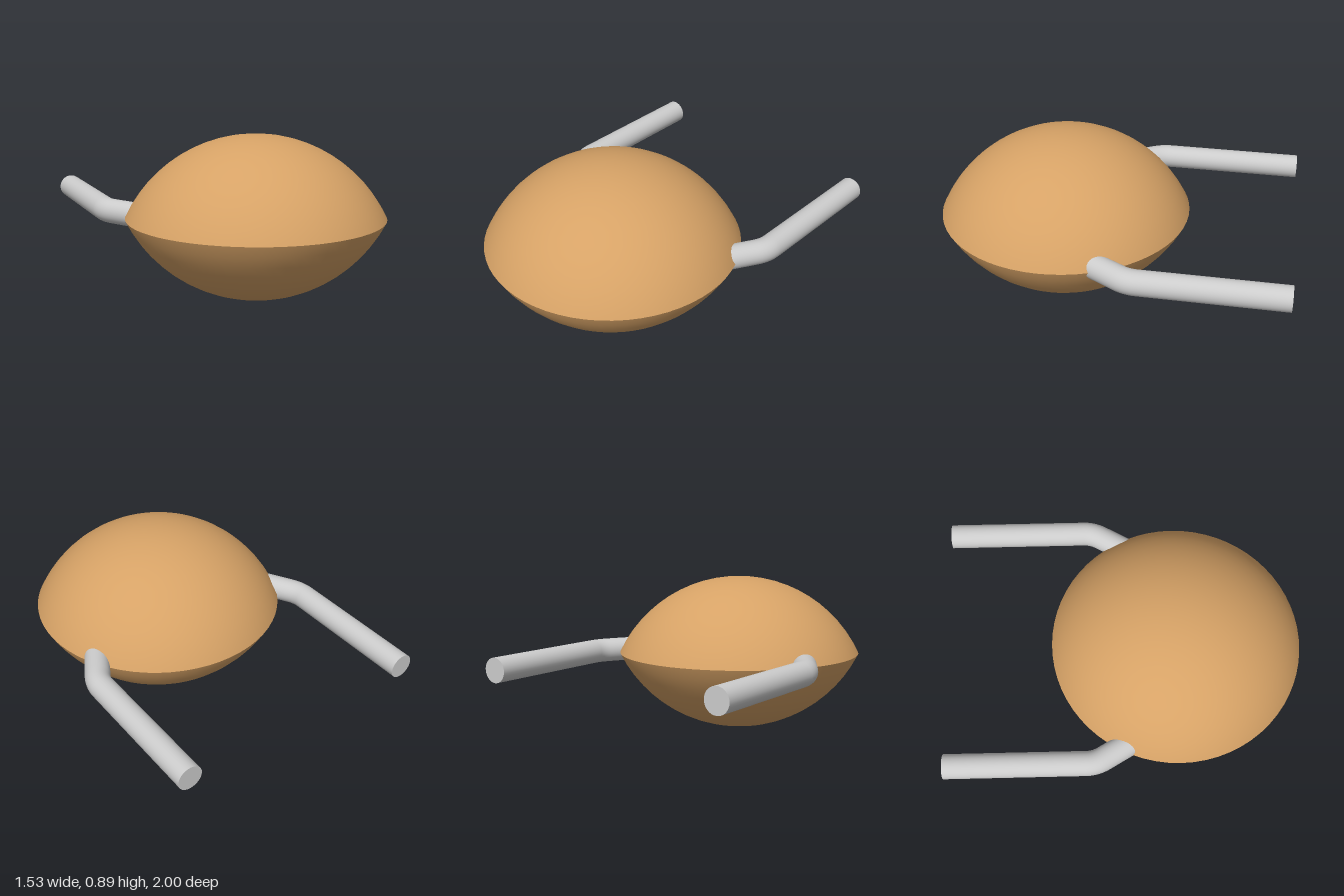
import * as THREE from 'three';

const RIM = 0.705, CAP = 0.443, MID_Y = 0.448, LENS_Z = 0.295, TUBE_R = 0.068;

export function createModel() {
  const model = new THREE.Group();
  const tan = new THREE.MeshStandardMaterial({ color: 0xd6a266 });
  const grey = new THREE.MeshStandardMaterial({ color: 0xcccccc });

  // Lens-shaped body: two shallow spherical caps meeting at a sharp rim
  const R = (RIM * RIM + CAP * CAP) / (2 * CAP);
  const capGeo = new THREE.SphereGeometry(R, 64, 12, 0, Math.PI * 2, 0, Math.asin(RIM / R));
  capGeo.translate(0, CAP - R, 0);
  const body = new THREE.Group();
  body.name = 'body';
  body.position.set(0, MID_Y, LENS_Z);
  for (const [name, turn] of [['upperShell', 0], ['lowerShell', Math.PI]]) {
    const shell = new THREE.Mesh(capGeo, tan);
    shell.name = name;
    shell.rotation.x = turn;
    body.add(shell);
  }
  model.add(body);

  // Bent round handles running backwards from the body
  for (const [name, s] of [['leftHandle', 1], ['rightHandle', -1]]) {
    const p = (x, z) => new THREE.Vector3(s * x, MID_Y, z);
    const path = new THREE.CurvePath();
    path.add(new THREE.LineCurve3(p(0.695, -1), p(0.695, -0.22)));
    path.add(new THREE.QuadraticBezierCurve3(p(0.695, -0.22), p(0.695, -0.17), p(0.668, -0.123)));
    path.add(new THREE.LineCurve3(p(0.668, -0.123), p(0.54, 0.1)));

    const handle = new THREE.Group();
    handle.name = name;
    const tube = new THREE.Mesh(new THREE.TubeGeometry(path, 60, TUBE_R, 32), grey);
    tube.name = name + 'Tube';

    // Flat caps on the rear end and on the end buried in the body
    const rearCap = new THREE.Mesh(new THREE.CircleGeometry(TUBE_R, 32), grey);
    rearCap.name = name + 'RearCap';
    rearCap.position.copy(p(0.695, -1));
    rearCap.rotation.y = Math.PI;
    const innerCap = new THREE.Mesh(rearCap.geometry, grey);
    innerCap.name = name + 'InnerCap';
    innerCap.position.copy(p(0.54, 0.1));
    innerCap.rotation.y = -s * Math.atan2(0.128, 0.223);
    handle.add(tube, rearCap, innerCap);
    model.add(handle);
  }
  return model;
}
